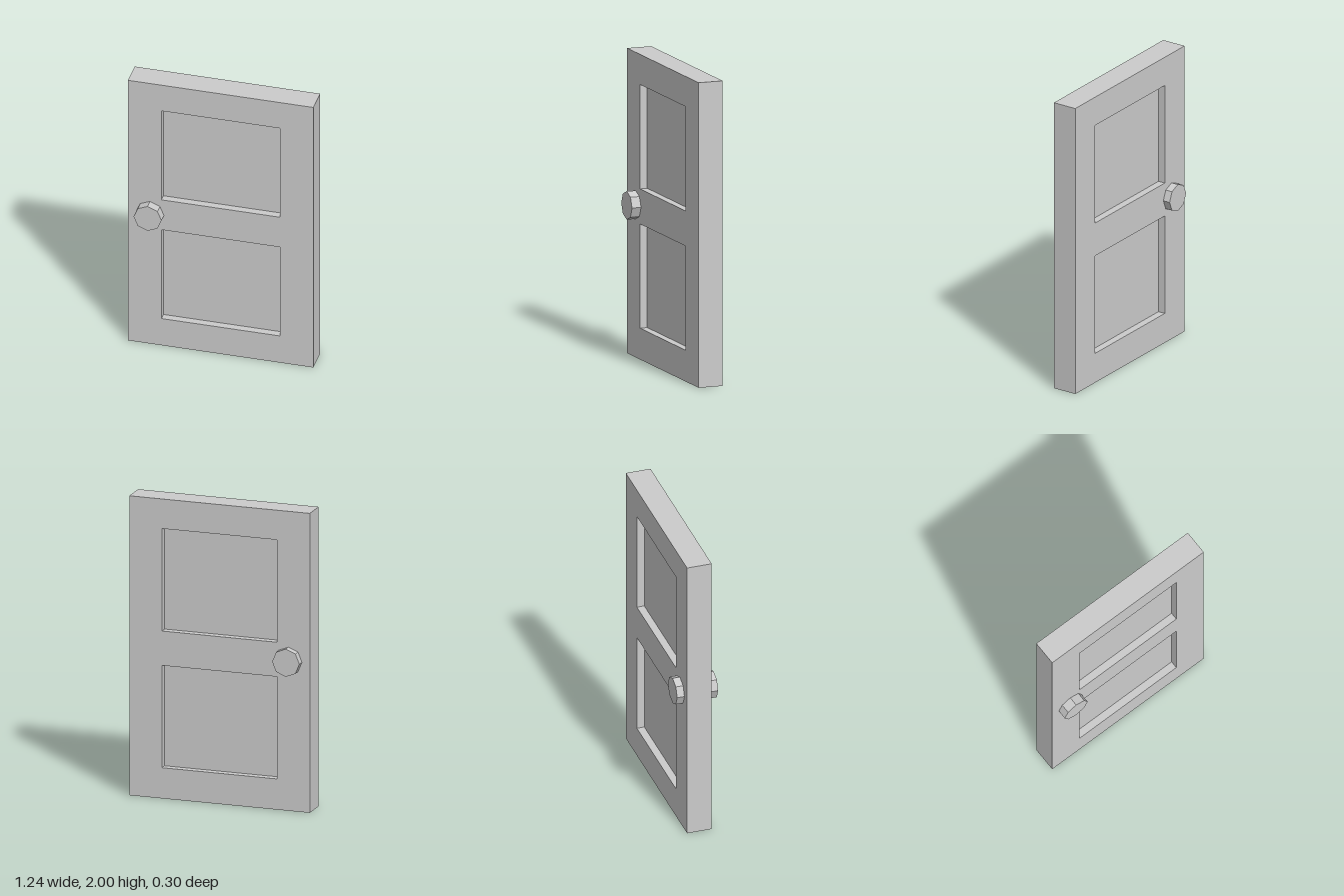
import * as THREE from 'three';

const WIDTH = 1.234, HEIGHT = 2, DEPTH = 0.167;
const PANEL_HALF = 0.394, RECESS = 0.05;
const PANELS = [[0.205, 0.888], [1.118, 1.802]]; // bottom and top of each panel

export function createModel() {
  const model = new THREE.Group();
  model.name = 'door';
  const material = new THREE.MeshStandardMaterial({ color: 0xcccccc, flatShading: true });

  // The leaf stands slightly ajar
  const leaf = new THREE.Group();
  leaf.name = 'doorLeaf';
  leaf.position.z = -0.031;
  leaf.rotation.y = 0.059;
  model.add(leaf);

  const add = (name, geometry, x, y, z) => {
    const mesh = new THREE.Mesh(geometry, material);
    mesh.name = name;
    mesh.position.set(x, y, z);
    leaf.add(mesh);
    return mesh;
  };

  const rectangle = (PathType, x0, y0, x1, y1) => new PathType([
    [x0, y0], [x1, y0], [x1, y1], [x0, y1],
  ].map(([x, y]) => new THREE.Vector2(x, y)));

  // Frame with two openings
  const outline = rectangle(THREE.Shape, -WIDTH / 2, 0, WIDTH / 2, HEIGHT);
  for (const [y0, y1] of PANELS) {
    outline.holes.push(rectangle(THREE.Path, -PANEL_HALF, y0, PANEL_HALF, y1));
  }
  const frame = new THREE.ExtrudeGeometry(outline, { depth: DEPTH, bevelEnabled: false });
  add('frame', frame, 0, 0, -DEPTH / 2);

  // Panels recessed on both faces
  PANELS.forEach(([y0, y1], i) => {
    const panel = new THREE.BoxGeometry(PANEL_HALF * 2, y1 - y0, DEPTH - RECESS * 2);
    add(i ? 'upperPanel' : 'lowerPanel', panel, 0, (y0 + y1) / 2, 0);
  });

  // Octagonal knob on each face
  for (const [name, side, length] of [['frontKnob', 1, 0.062], ['backKnob', -1, 0.049]]) {
    const knob = new THREE.CylinderGeometry(0.093, 0.093, length, 8).rotateX(Math.PI / 2);
    add(name, knob, -0.47, 1, side * (DEPTH + length) / 2);
  }

  return model;
}
